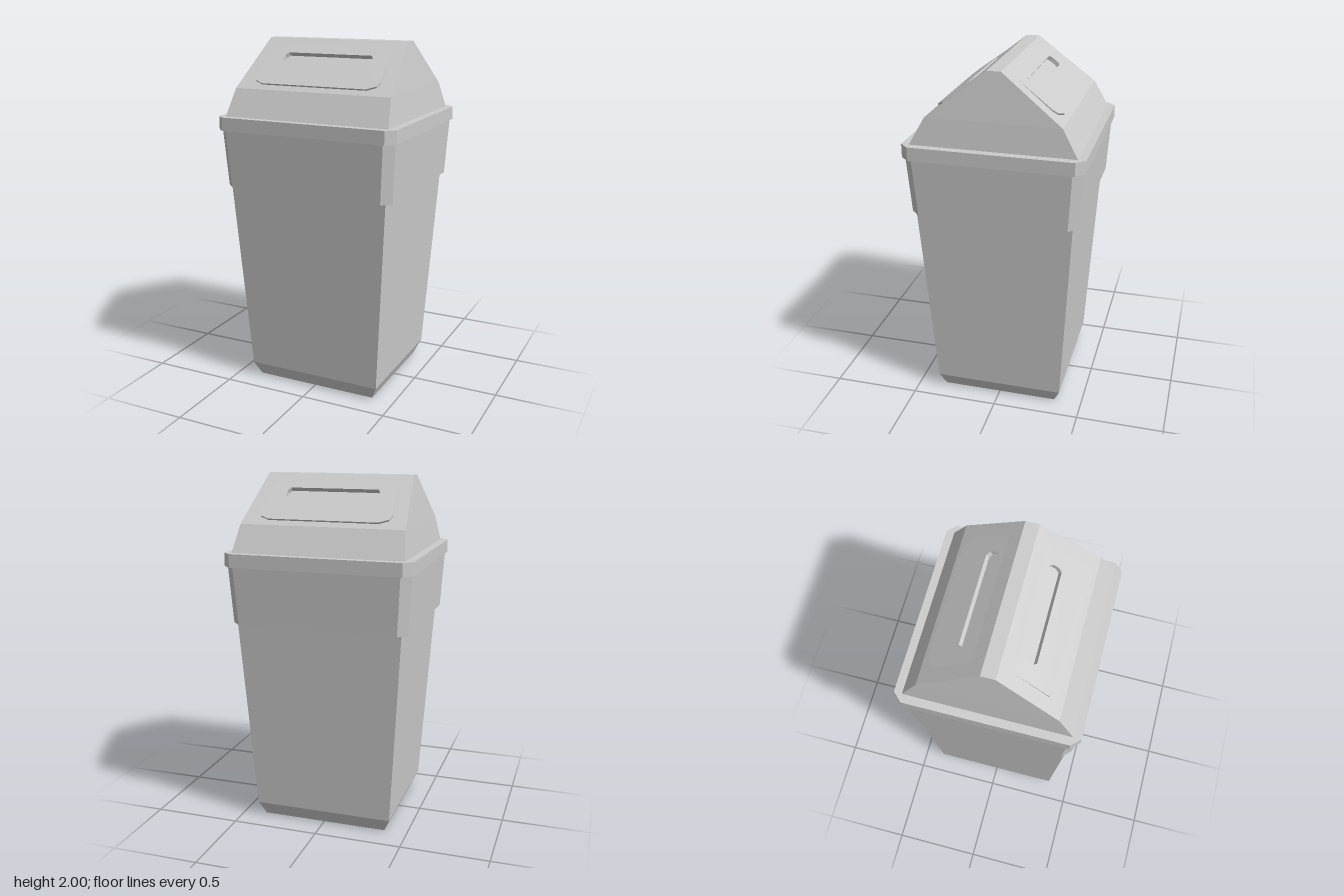
import * as THREE from 'three';

const material = new THREE.MeshStandardMaterial({ color: 0xcccccc, flatShading: true });

function part(name, geometry) {
  const mesh = new THREE.Mesh(geometry, material);
  mesh.name = name;
  return mesh;
}

// Rectangle at height y, optionally with corners cut by c; counter-clockwise from above
function ring(y, hx, hz, c = 0) {
  const points = c
    ? [[hx, hz - c], [hx, c - hz], [hx - c, -hz], [c - hx, -hz],
       [-hx, c - hz], [-hx, hz - c], [c - hx, hz], [hx - c, hz]]
    : [[hx, hz], [hx, -hz], [-hx, -hz], [-hx, hz]];
  return points.map(([x, z]) => new THREE.Vector3(x, y, z));
}

// Flat-faced skin through matching rings; keep() may leave out single faces
function loft(rings, { bottom = false, top = false, keep = () => true } = {}) {
  const tris = [];
  const n = rings[0].length;
  for (let i = 0; i < rings.length - 1; i++) {
    for (let j = 0; j < n; j++) {
      if (!keep(i, j)) continue;
      const k = (j + 1) % n, a = rings[i], b = rings[i + 1];
      tris.push(a[j], a[k], b[k], a[j], b[k], b[j]);
    }
  }
  const first = rings[0], last = rings[rings.length - 1];
  for (let j = 1; j < n - 1; j++) {
    if (bottom) tris.push(first[0], first[j + 1], first[j]);
    if (top) tris.push(last[0], last[j], last[j + 1]);
  }
  const geometry = new THREE.BufferGeometry().setFromPoints(tris);
  geometry.computeVertexNormals();
  return geometry;
}

// Lid dimensions: half width, height and half depth at eave and ridge
const EAVE = { x: 0.467, y: 1.74, z: 0.37 };
const RIDGE = { x: 0.427, y: 2, z: 0.038 };
const RUN = EAVE.z - RIDGE.z, RISE = RIDGE.y - EAVE.y;
const SLOPE = Math.hypot(RUN, RISE);

// One sloping lid face with its raised flap and recessed slot.
// Local frame: y runs up the slope from 0 at the ridge, z points outwards.
function lidSlope() {
  const group = new THREE.Group();
  const to2 = (list) => list.map(([x, y]) => new THREE.Vector2(x, y));
  const mirror = (half) => to2([...half, ...half.map(([x, y]) => [-x, y]).reverse()]);
  const face = mirror([[EAVE.x, -SLOPE], [RIDGE.x, 0]]);
  const flap = mirror([[0.313, -0.384], [0.364, -0.36], [0.379, -0.324], [0.355, -0.08]]);
  const slot = mirror([[0.255, -0.2], [0.269, -0.178], [0.269, -0.146], [0.255, -0.123]]);

  // The flap stands proud at its lower edge and fades into the face at the top
  const lift = (y) => 0.01 * Math.max(0, (-y - 0.08) / 0.304);
  const at = (list, height) => list.map((p) => new THREE.Vector3(p.x, p.y, height(p.y)));
  const flat = () => 0;
  const floor = (y) => lift(y) - 0.025;

  function sheet(outline, hole, height) {
    const shape = new THREE.Shape(outline);
    if (hole) shape.holes.push(new THREE.Path(hole));
    const geometry = new THREE.ShapeGeometry(shape);
    const pos = geometry.attributes.position;
    for (let i = 0; i < pos.count; i++) pos.setZ(i, height(pos.getY(i)));
    geometry.computeVertexNormals();
    return geometry;
  }

  group.add(
    part('lidFace', sheet(face, flap, flat)),
    part('flap', sheet(flap, slot, lift)),
    part('flapEdge', loft([at(flap, flat), at(flap, lift)])),
    part('slotWall', loft([at(slot, lift), at(slot, floor)])),
    part('slotFloor', sheet(slot, null, floor)),
  );
  group.position.set(0, RIDGE.y, RIDGE.z);
  group.rotation.x = -Math.atan2(RUN, RISE);
  return group;
}

export function createModel() {
  const model = new THREE.Group();
  model.name = 'swingBin';

  // Tapered body with a bevelled foot
  model.add(part('body', loft([
    ring(0, 0.367, 0.338),
    ring(0.08, 0.403, 0.373),
    ring(1.22, 0.473, 0.438),
  ], { bottom: true })));

  // Collar with cut corners, stepping out from the body
  model.add(part('collar', loft([
    ring(1.19, 0.455, 0.42, 0.05),
    ring(1.19, 0.503, 0.465, 0.05),
    ring(1.52, 0.522, 0.485, 0.05),
  ])));

  // Rim around the mouth
  model.add(part('rim', loft([
    ring(1.515, 0.5, 0.46, 0.048),
    ring(1.515, 0.533, 0.498, 0.048),
    ring(1.59, 0.533, 0.498, 0.048),
    ring(1.59, 0.46, 0.43, 0.048),
  ])));

  // Lid shell: skirt, gable ends and ridge, with the two slopes left open
  const lid = new THREE.Group();
  lid.name = 'lid';
  lid.add(part('lidShell', loft([
    ring(1.59, 0.487, 0.454),
    ring(EAVE.y, EAVE.x, EAVE.z),
    ring(RIDGE.y, RIDGE.x, RIDGE.z),
  ], { top: true, keep: (i, j) => i === 0 || j % 2 === 0 })));

  // Front and back slopes
  for (const [name, turn] of [['frontSlope', 0], ['backSlope', Math.PI]]) {
    const side = new THREE.Group();
    side.name = name;
    side.add(lidSlope());
    side.rotation.y = turn;
    lid.add(side);
  }
  model.add(lid);
  return model;
}
